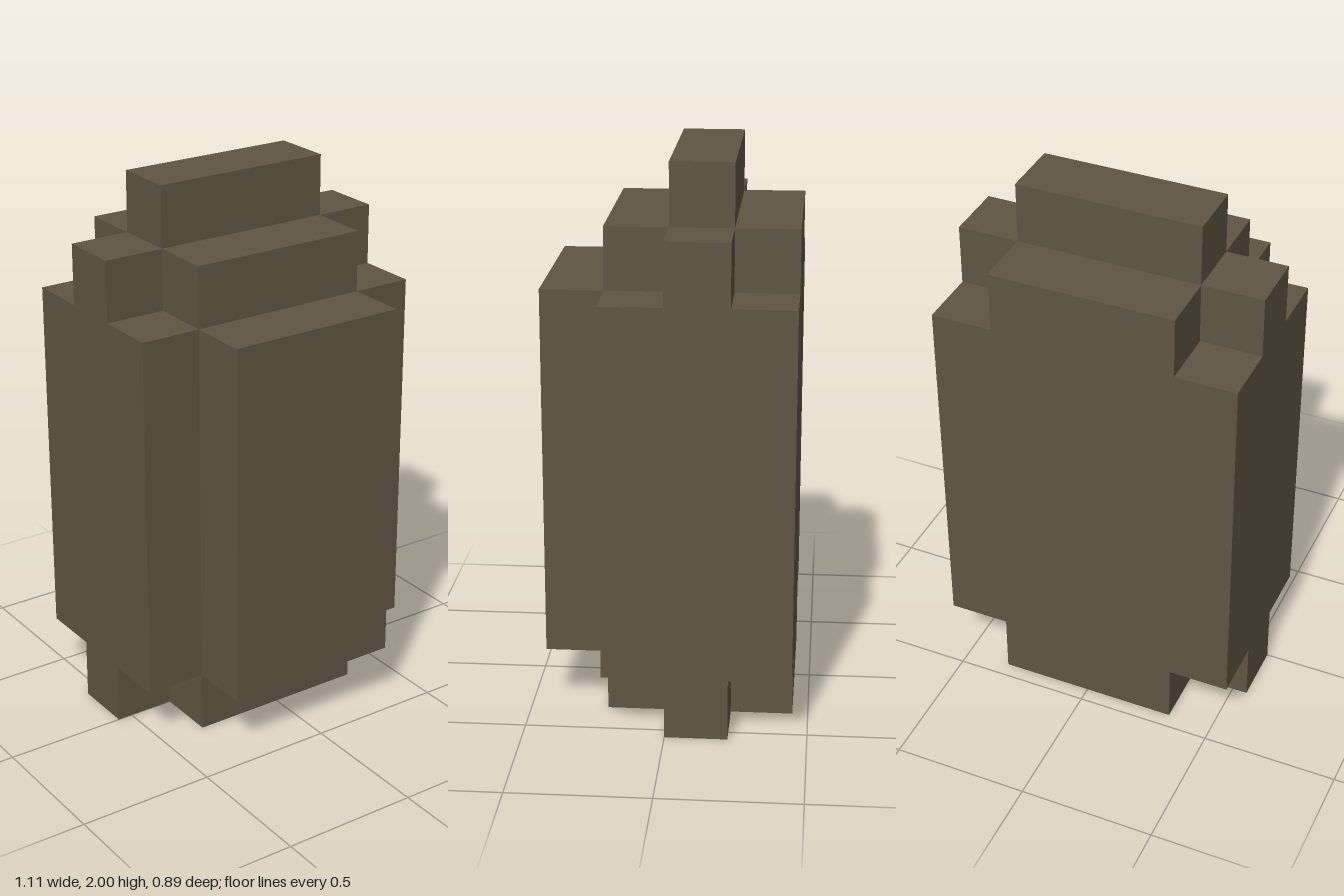
import * as THREE from 'three';

const U = 2 / 9; // one block unit

export function createModel() {
  const group = new THREE.Group();
  const brown = new THREE.MeshStandardMaterial({ color: 0x5f5543 });
  brown.name = 'dark brown';

  function add(name, geometry) {
    const mesh = new THREE.Mesh(geometry, brown);
    mesh.name = name;
    group.add(mesh);
  }

  // Box spanning two corners, given in block units
  function block(name, [x0, y0, z0], [x1, y1, z1]) {
    const g = new THREE.BoxGeometry((x1 - x0) * U, (y1 - y0) * U, (z1 - z0) * U);
    g.translate((x0 + x1) / 2 * U, (y0 + y1) / 2 * U, (z0 + z1) / 2 * U);
    add(name, g);
  }

  // Cross-shaped slab one unit thick, with its four corners notched
  const outline = [
    [-1.5, -1], [1.5, -1], [1.5, 0], [2.5, 0], [2.5, 1], [1.5, 1],
    [1.5, 2], [-1.5, 2], [-1.5, 1], [-2.5, 1], [-2.5, 0], [-1.5, 0],
  ];
  function crossSlab(name, y) {
    const shape = new THREE.Shape(outline.map(([x, d]) => new THREE.Vector2(x * U, d * U)));
    const g = new THREE.ExtrudeGeometry(shape, { depth: U, bevelEnabled: false });
    g.rotateX(-Math.PI / 2).translate(0, y * U, 0);
    add(name, g);
  }

  crossSlab('bottomSlab', 0);
  block('body', [-2.5, 1, -2], [2.5, 7, 1]);
  block('frontPanel', [-1.5, 1, 1], [1.5, 7, 2]);
  crossSlab('topSlab', 7);
  block('topRidge', [-1.5, 8, -1], [1.5, 9, 0]);

  return group;
}
